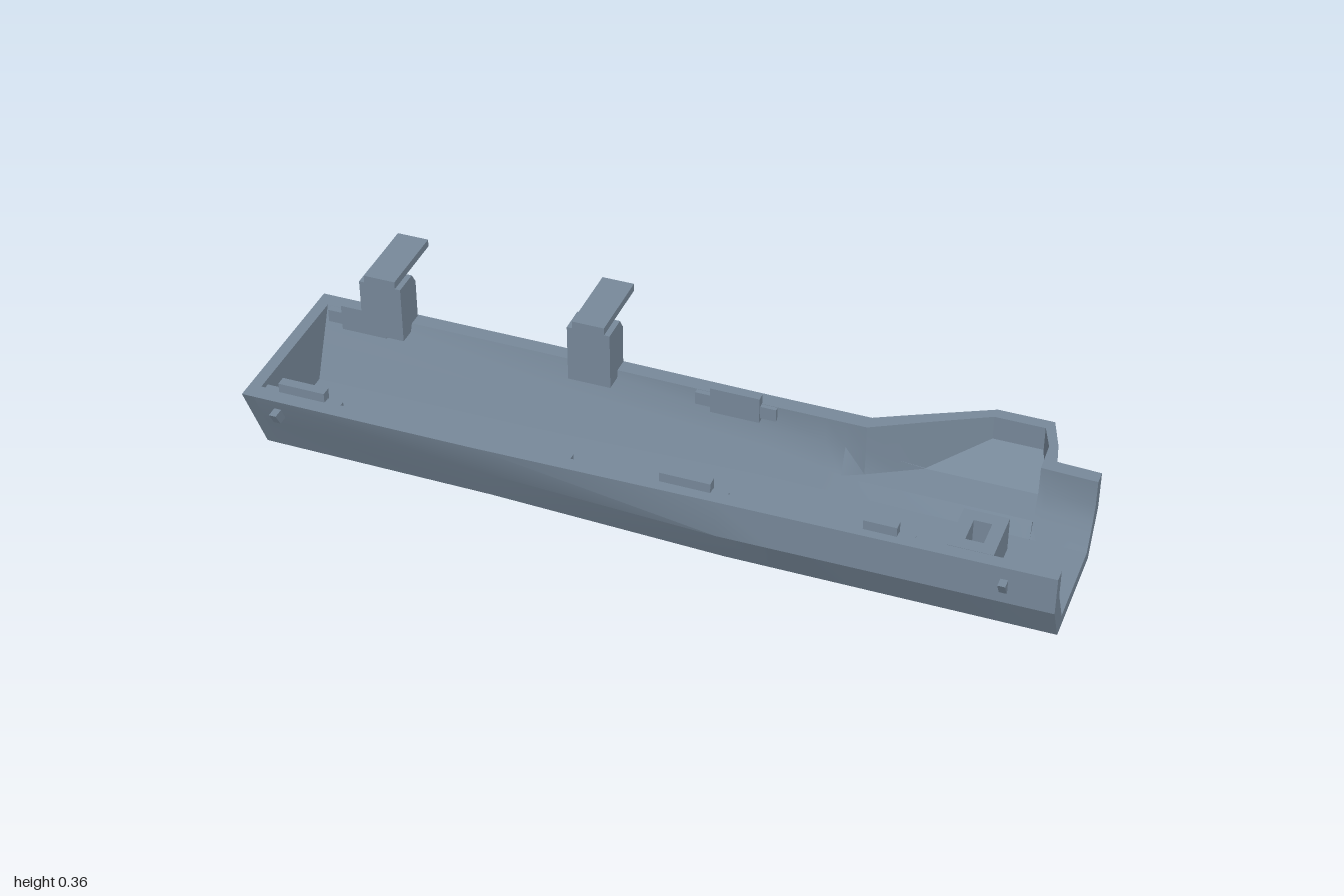
import * as THREE from 'three';
import { toCreasedNormals } from 'three/addons/utils/BufferGeometryUtils.js';

const mat = new THREE.MeshStandardMaterial({ color: 0x778899 });
mat.name = 'slate grey';

// Linear interpolation in a table of rows [x, ...values]
function sample(rows, x) {
  let i = 0;
  while (i < rows.length - 2 && x > rows[i + 1][0]) i++;
  const a = rows[i], b = rows[i + 1];
  const t = Math.min(1, Math.max(0, (x - a[0]) / (b[0] - a[0])));
  return a.slice(1).map((v, k) => v + (b[k + 1] - v) * t);
}

// Rows: x, then z of front rim, front crease, front bottom, back bottom
const outerFront = [
  [-1, 0.278, 0.232, 0.182, -0.067],
  [-0.4, 0.277, 0.24, 0.185, -0.07],
  [0.2, 0.267, 0.267, 0.205, -0.09],
  [1, 0.258, 0.258, 0.2, -0.085],
];
const innerFront = [
  [-1, 0.235, 0.203, 0.155, -0.05],
  [-0.4, 0.237, 0.206, 0.157, -0.052],
  [0.2, 0.23, 0.23, 0.18, -0.075],
  [1, 0.226, 0.226, 0.17, -0.063],
];
// Rows: x, then (z, y) of four points climbing the back wall, with the bulge
const outerBack = [
  [-1, -0.086, 0.04, -0.088, 0.044, -0.119, 0.11, -0.168, 0.21],
  [-0.4, -0.09, 0.04, -0.092, 0.044, -0.125, 0.11, -0.167, 0.21],
  [0.2, -0.112, 0.04, -0.114, 0.044, -0.152, 0.11, -0.16, 0.21],
  [0.34, -0.11, 0.04, -0.111, 0.042, -0.15, 0.11, -0.16, 0.21],
  [0.44, -0.11, 0.04, -0.16, 0.04, -0.16, 0.11, -0.16, 0.21],
  [0.51, -0.11, 0.04, -0.195, 0.04, -0.196, 0.042, -0.196, 0.21],
  [0.71, -0.11, 0.04, -0.195, 0.04, -0.295, 0.14, -0.295, 0.21],
  [0.85, -0.11, 0.04, -0.195, 0.04, -0.295, 0.14, -0.295, 0.21],
  [0.88, -0.11, 0.04, -0.195, 0.04, -0.21, 0.055, -0.21, 0.21],
  [0.893, -0.107, 0.04, -0.109, 0.044, -0.146, 0.11, -0.15, 0.21],
  [1, -0.107, 0.04, -0.109, 0.044, -0.145, 0.11, -0.145, 0.21],
];
const innerBack = [
  [-1, -0.066, 0.07, -0.079, 0.1, -0.097, 0.14, -0.128, 0.21],
  [-0.4, -0.068, 0.07, -0.081, 0.1, -0.099, 0.14, -0.128, 0.21],
  [0.2, -0.09, 0.07, -0.102, 0.1, -0.118, 0.14, -0.12, 0.21],
  [0.39, -0.09, 0.07, -0.091, 0.072, -0.118, 0.14, -0.12, 0.21],
  [0.44, -0.09, 0.07, -0.118, 0.07, -0.12, 0.14, -0.12, 0.21],
  [0.57, -0.09, 0.07, -0.19, 0.07, -0.191, 0.071, -0.191, 0.21],
  [0.71, -0.09, 0.07, -0.19, 0.07, -0.265, 0.145, -0.265, 0.21],
  [0.835, -0.09, 0.07, -0.19, 0.07, -0.265, 0.145, -0.265, 0.21],
  [0.86, -0.09, 0.07, -0.19, 0.07, -0.2, 0.08, -0.2, 0.21],
  [0.863, -0.083, 0.07, -0.097, 0.1, -0.112, 0.14, -0.115, 0.21],
  [1, -0.083, 0.07, -0.096, 0.1, -0.11, 0.14, -0.11, 0.21],
];

// Eight-point wall line from the front rim, under the floor, to the back rim
function wallLine(frontRows, backRows, creaseY, floorY, x) {
  const f = sample(frontRows, x), b = sample(backRows, x);
  const heights = [0.21, creaseY, floorY, floorY];
  const pts = f.map((z, i) => new THREE.Vector3(x, heights[i], z));
  for (let i = 0; i < 8; i += 2) pts.push(new THREE.Vector3(x, b[i + 1], b[i]));
  return pts;
}
const outerLine = x => wallLine(outerFront, outerBack, 0.11, 0, x);
const innerLine = x => wallLine(innerFront, innerBack, 0.14, 0.033, x);

// Triangle list that skips empty faces
function makeFaces() {
  const pos = [];
  const tri = (a, b, c) => {
    const n = b.clone().sub(a).cross(c.clone().sub(a));
    if (n.length() > 1e-9) for (const p of [a, b, c]) pos.push(p.x, p.y, p.z);
  };
  const quad = (a, b, c, d) => { tri(a, b, c); tri(a, c, d); };
  const loft = (A, B) => A.forEach((p, i) => {
    const j = (i + 1) % A.length;
    quad(p, A[j], B[j], B[i]);
  });
  const build = () => {
    const g = new THREE.BufferGeometry();
    g.setAttribute('position', new THREE.Float32BufferAttribute(pos, 3));
    return toCreasedNormals(g, 0.4);
  };
  return { tri, quad, loft, build };
}

function troughGeometry() {
  const faces = makeFaces();
  const stops = [-0.97, 1];
  for (const rows of [outerBack, innerBack]) for (const r of rows) if (r[0] > -0.97) stops.push(r[0]);
  const xs = [...new Set(stops)].sort((a, b) => a - b);
  const rings = xs.map(x => [...outerLine(x), ...innerLine(x).reverse()]);
  for (let i = 0; i < rings.length - 1; i++) faces.loft(rings[i], rings[i + 1]);
  // open end: thickness of the wall
  const o = outerLine(1), n = innerLine(1);
  for (let i = 0; i < 7; i++) faces.quad(o[i], o[i + 1], n[i + 1], n[i]);
  return faces.build();
}

function endWallGeometry() {
  const faces = makeFaces();
  const A = outerLine(-1), B = outerLine(-0.97);
  faces.loft(A, B);
  for (let i = 1; i < 7; i++) {
    faces.tri(A[0], A[i + 1], A[i]);
    faces.tri(B[0], B[i], B[i + 1]);
  }
  return faces.build();
}

// Prism from a (z, y) outline, centred on x with the given width
function prism(points, x, width) {
  const s = new THREE.Shape(points.map(([z, y]) => new THREE.Vector2(-z, y)));
  const g = new THREE.ExtrudeGeometry(s, { depth: width, bevelEnabled: false });
  return g.rotateY(Math.PI / 2).translate(x - width / 2, 0, 0);
}
function box(x0, x1, y0, y1, z0, z1) {
  return new THREE.BoxGeometry(x1 - x0, y1 - y0, z1 - z0)
    .translate((x0 + x1) / 2, (y0 + y1) / 2, (z0 + z1) / 2);
}

export function createModel() {
  const group = new THREE.Group();
  const add = (name, geometry) => {
    const m = new THREE.Mesh(geometry, mat);
    m.name = name;
    group.add(m);
  };

  add('trough', troughGeometry());
  add('endWall', endWallGeometry());

  // Tall hooks on the back rim
  for (const x of [-0.795, -0.248]) {
    add('hookPost', prism([[-0.077, 0.19], [-0.077, 0.343], [-0.145, 0.343], [-0.163, 0.315], [-0.163, 0.21], [-0.12, 0.19]], x, 0.11));
    add('hookPlate', box(x - 0.041, x + 0.041, 0.343, 0.363, -0.275, -0.077));
  }

  // Tabs standing above the rims, each with a wider ledge inside the wall
  for (const [x, w] of [[-0.86, 0.12], [0.115, 0.125], [0.583, 0.08]]) {
    add('frontTab', box(x - w / 2, x + w / 2, 0.165, 0.235, 0.215, 0.24));
    add('frontLedge', box(x - w / 2 - 0.04, x + w / 2 + 0.04, 0.175, 0.209, 0.221, 0.245));
  }
  add('frontLedge', box(-0.32, -0.17, 0.17, 0.209, 0.216, 0.245));
  for (const [x, w] of [[-0.86, 0.12], [0.115, 0.125]]) {
    add('backTab', box(x - w / 2, x + w / 2, 0.165, 0.235, -0.125, -0.103));
    add('backLedge', box(x - w / 2 - 0.04, x + w / 2 + 0.04, 0.175, 0.209, -0.135, -0.109));
  }

  // Small catches on the outside
  for (const [x, z] of [[-0.915, 0.293], [0.88, 0.285]]) {
    add('frontCatch', prism([[z - 0.06, 0.177], [z - 0.06, 0.142], [z - 0.02, 0.142], [z, 0.177]], x, 0.018));
  }
  add('backCatch', box(-0.924, -0.906, 0.142, 0.177, -0.178, -0.12));
  add('backCatch', box(0.9, 0.918, 0.142, 0.177, -0.16, -0.13));

  // Hollow socket on the floor
  const socket = new THREE.Shape([[-0.055, -0.07], [0.055, -0.07], [0.055, 0.07], [-0.055, 0.07]].map(p => new THREE.Vector2(...p)));
  socket.holes.push(new THREE.Path([[-0.022, -0.036], [-0.022, 0.036], [0.022, 0.036], [0.022, -0.036]].map(p => new THREE.Vector2(...p))));
  add('floorSocket', new THREE.ExtrudeGeometry(socket, { depth: 0.095, bevelEnabled: false })
    .rotateX(-Math.PI / 2).translate(0.768, 0.03, 0.057));

  return group;
}
